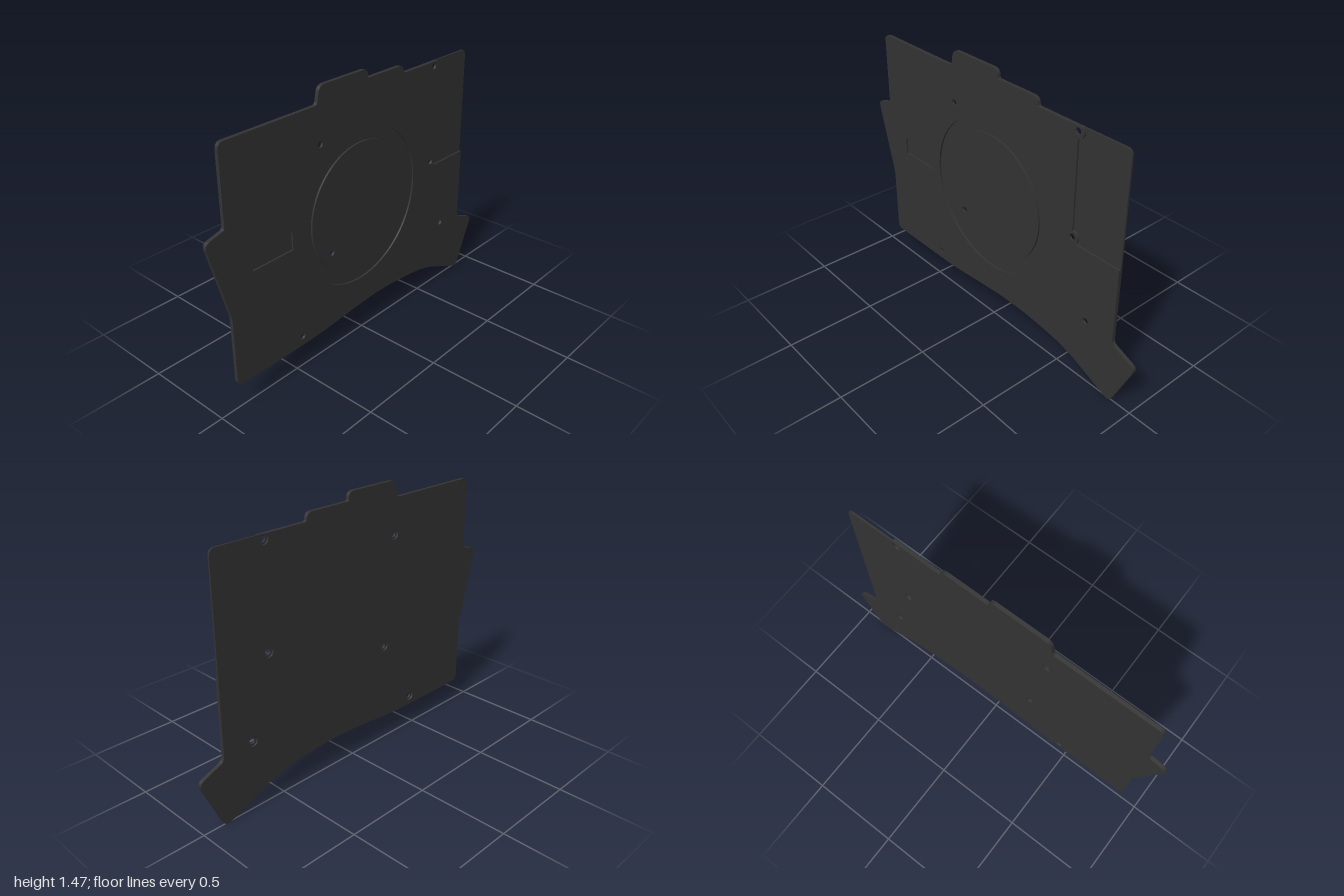
import * as THREE from 'three';

const HALF = 0.01; // thickness of each of the two layers
const RING = { x: -0.015, y: 0.757, outer: 0.43, inner: 0.355 };
const BOSS = 0.036;
const SCREWS = [[0.565, 1.36], [0.565, 0.81], [-0.3, 1.19], [-0.235, 0.575], [0.685, 0.38], [-0.46, 0.185]];

// Outline, clockwise, as [x, y, corner radius]
const topEdge = [
  [-0.895, 1.385, 0.035], [-0.315, 1.385, 0.018], [-0.297, 1.475, 0.035], [0.035, 1.475, 0.035],
  [0.035, 1.428, 0.01], [0.305, 1.428, 0.032], [0.31, 1.385, 0.008],
];
const topRightCorner = [[0.86, 1.385, 0.035]];
const lowerEdge = [
  [0.86, 0.352, 0.025], [1.01, 0.29, 0.035], [0.876, -0.009, 0.035],
  [0.6, 0.11, 0.04], [0.5, 0.136, 0.03], [0.36, 0.155, 0.05], [0.23, 0.166, 0.05], [0.08, 0.168, 0.05],
  [-0.1, 0.155, 0.05], [-0.28, 0.139, 0.05], [-0.42, 0.133, 0.05],
  [-0.895, 0.133, 0.035], [-0.895, 0.525, 0.02], [-1.009, 0.953, 0.035], [-0.895, 0.982, 0.015],
];

// Edge of the corner recess, bulging around its two screw bosses
function recessEdge() {
  const arc = ([cx, cy], from, to) => Array.from({ length: 13 }, (_, i) => {
    const a = from + (to - from) * i / 12;
    return [cx + BOSS * Math.cos(a), cy + BOSS * Math.sin(a), 0];
  });
  const a = Math.asin(0.025 / BOSS), b = Math.asin(0.03 / BOSS);
  return [
    ...arc(SCREWS[0], a, -Math.PI / 2),
    ...arc(SCREWS[1], Math.PI / 2, -b),
    [0.86, 0.78, 0],
  ];
}

// Closed shape with rounded corners
function roundedShape(points) {
  const shape = new THREE.Shape();
  const n = points.length;
  const toward = (p, q, r) => {
    const d = Math.hypot(q[0] - p[0], q[1] - p[1]);
    return [p[0] + (q[0] - p[0]) * r / d, p[1] + (q[1] - p[1]) * r / d];
  };
  points.forEach((p, i) => {
    const start = toward(p, points[(i + n - 1) % n], p[2]);
    if (i === 0) shape.moveTo(...start);
    else shape.lineTo(...start);
    if (p[2] > 0) shape.quadraticCurveTo(p[0], p[1], ...toward(p, points[(i + 1) % n], p[2]));
  });
  shape.closePath();
  return shape;
}

// Circle as a polygon, usable as a shape or a hole
function circle(x, y, r, sides) {
  const pts = Array.from({ length: sides }, (_, i) => {
    const a = i / sides * Math.PI * 2;
    return new THREE.Vector2(x + r * Math.cos(a), y + r * Math.sin(a));
  });
  return new THREE.Shape(pts);
}

export function createModel() {
  const group = new THREE.Group();
  const material = new THREE.MeshStandardMaterial({ color: 0x333333 });

  const addLayer = (name, shape, z) => {
    const geometry = new THREE.ExtrudeGeometry(shape, { depth: HALF, bevelEnabled: false, curveSegments: 6 });
    const mesh = new THREE.Mesh(geometry, material);
    mesh.name = name;
    mesh.position.z = z;
    group.add(mesh);
  };

  // Back layer: full outline with wide counterbores for the screw heads
  const back = roundedShape([...topEdge, ...topRightCorner, ...lowerEdge]);
  SCREWS.forEach(([x, y]) => back.holes.push(circle(x, y, 0.027, 24)));
  addLayer('backPlate', back, -HALF);

  // Front layer: cut away at the corner recess, ring groove and label recess
  const inDisc = ([x, y]) => Math.hypot(x - RING.x, y - RING.y) < RING.inner;
  const front = roundedShape([...topEdge, ...recessEdge(), ...lowerEdge]);
  front.holes.push(circle(RING.x, RING.y, RING.outer, 96));
  front.holes.push(roundedShape([[-0.755, 0.71, 0], [-0.5, 0.71, 0], [-0.5, 0.808, 0], [-0.755, 0.808, 0]]));
  SCREWS.filter((s) => !inDisc(s)).forEach(([x, y]) => front.holes.push(circle(x, y, 0.017, 24)));
  addLayer('frontPlate', front, 0);

  // Round panel inside the ring groove
  const disc = circle(RING.x, RING.y, RING.inner, 96);
  SCREWS.filter(inDisc).forEach(([x, y]) => disc.holes.push(circle(x, y, 0.017, 24)));
  addLayer('centreDisc', disc, 0);

  return group;
}
